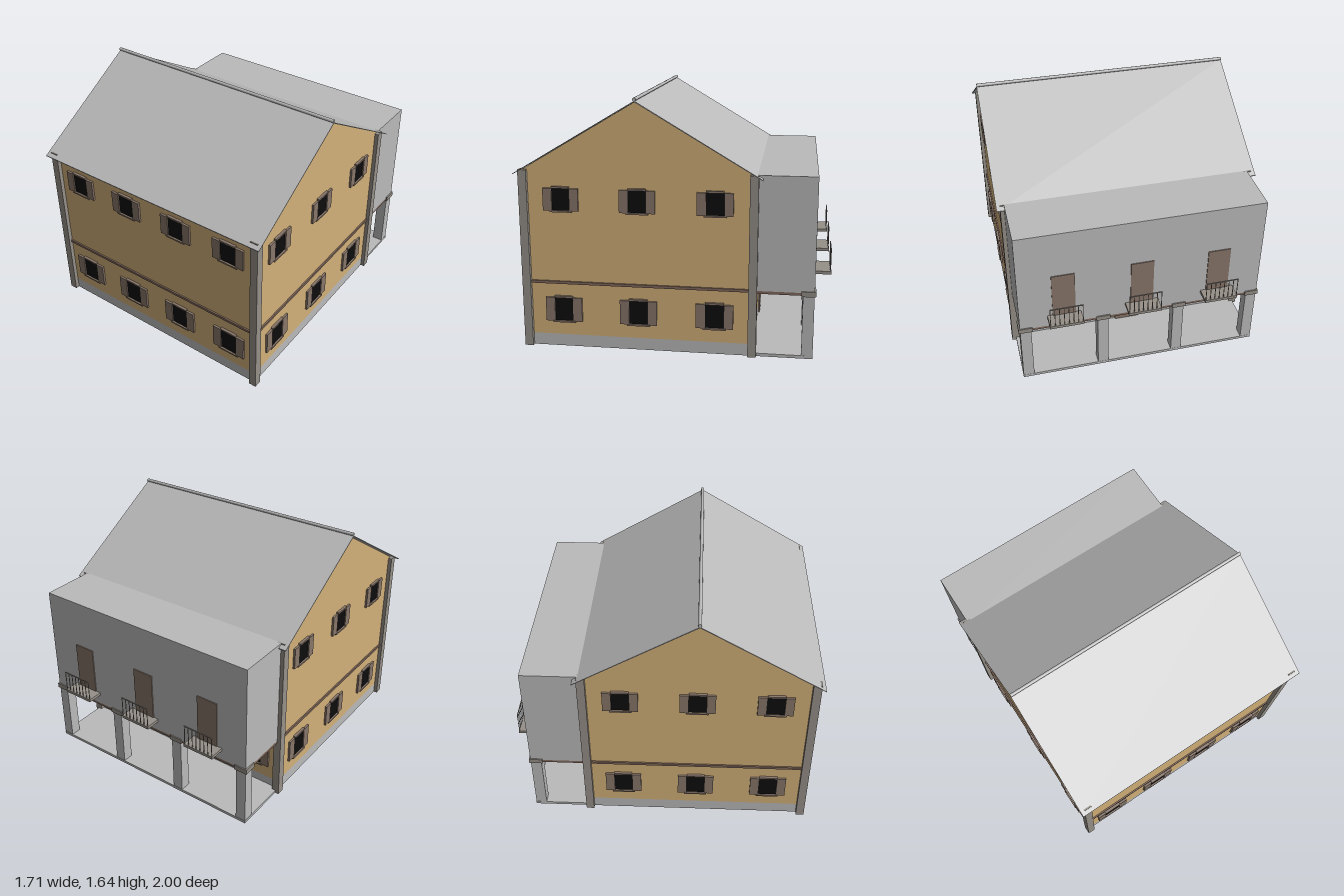
import * as THREE from 'three';

const mat = (name, color, side = THREE.FrontSide) => {
  const m = new THREE.MeshStandardMaterial({ color, side });
  m.name = name;
  return m;
};

export function createModel() {
  const ochre = mat('ochrePlaster', 0xd2b079, THREE.DoubleSide);
  const grey = mat('lightGrey', 0xbababa, THREE.DoubleSide);
  const stone = mat('stone', 0x969088);
  const shutterBrown = mat('shutterBrown', 0x88766a);
  const beltBrown = mat('beltBrown', 0x82695c);
  const glass = mat('darkGlass', 0x0d0d0d);

  const house = new THREE.Group();
  house.name = 'house';

  const add = (parent, name, geo, material) => {
    const m = new THREE.Mesh(geo, material);
    m.name = name;
    parent.add(m);
    return m;
  };
  // box given by its min and max corners
  const box = (parent, name, material, x0, x1, y0, y1, z0, z1) => {
    const m = add(parent, name, new THREE.BoxGeometry(x1 - x0, y1 - y0, z1 - z0), material);
    m.position.set((x0 + x1) / 2, (y0 + y1) / 2, (z0 + z1) / 2);
    return m;
  };
  const polygon = (pts) => new THREE.Shape(pts.map(([x, y]) => new THREE.Vector2(x, y)));

  const W = 0.805, D = 0.73, ZC = 0.218, EAVE = 1.178, APEX = 1.612, PLINTH = 0.08;

  // window with a pair of shutters, lintel and sill, on a wall facing local +z
  const addWindow = (parent, x, y0, y1, half) => {
    const g = new THREE.Group();
    g.name = 'window';
    g.position.x = x;
    parent.add(g);
    box(g, 'pane', glass, -half, half, y0, y1, 0, 0.006);
    for (const s of [-1, 1]) {
      const a = s * half, b = s * half * 2;
      box(g, 'shutter', shutterBrown, Math.min(a, b), Math.max(a, b), y0 - 0.003, y1 - 0.003, 0, 0.014);
    }
    box(g, 'lintel', shutterBrown, -half, half, y1 - 0.003, y1 + 0.009, 0, 0.018);
    box(g, 'sill', shutterBrown, -half * 1.25, half * 1.25, y0 - 0.011, y0, -0.012, 0.018);
  };

  // four wall sides, open underneath
  const sides = [
    { name: 'frontWall', angle: 0, pos: [0, 0, ZC + D], half: W, windows: [-0.605, -0.203, 0.203, 0.605], floors: 2 },
    { name: 'backWall', angle: Math.PI, pos: [0, 0, ZC - D], half: W, windows: [-0.61, 0.61], floors: 1 },
    { name: 'leftWall', angle: Math.PI / 2, pos: [W, 0, ZC], half: D, gable: true, windows: [-0.49, 0, 0.49], floors: 2 },
    { name: 'rightWall', angle: -Math.PI / 2, pos: [-W, 0, ZC], half: D, gable: true, windows: [-0.49, 0, 0.49], floors: 2 },
  ];
  for (const s of sides) {
    const g = new THREE.Group();
    g.name = s.name;
    g.position.set(...s.pos);
    g.rotation.y = s.angle;
    house.add(g);
    const h = s.half;
    const outline = [[-h, PLINTH], [h, PLINTH], [h, EAVE]];
    if (s.gable) outline.push([0, APEX]);
    outline.push([-h, EAVE]);
    add(g, 'plaster', new THREE.ShapeGeometry(polygon(outline)), ochre);
    add(g, 'plinth', new THREE.ShapeGeometry(polygon([[-h, 0], [h, 0], [h, PLINTH], [-h, PLINTH]])), grey);
    for (const x of s.windows) {
      addWindow(g, x, 0.178, 0.338, 0.06);
      if (s.floors === 2) addWindow(g, x, 0.917, 1.063, 0.057);
    }
    if (s.name === 'backWall') box(g, 'porchDoor', shutterBrown, -0.085, 0.085, 0.02, 0.34, 0, 0.012);
  }

  // upper floor slab, showing outside as a belt course
  box(house, 'floorBelt', beltBrown, -W - 0.01, W + 0.01, 0.428, 0.446, ZC - D - 0.01, ZC + D + 0.01);

  // corner pillars
  for (const x of [-W, W]) for (const z of [ZC - D, ZC + D])
    box(house, 'cornerPillar', stone, x - 0.026, x + 0.026, 0, 1.176, z - 0.027, z + 0.027);

  // thin gabled roof with a ridge roll
  const roofShape = polygon([
    [1, 1.155], [ZC, 1.62], [-0.565, 1.155], [-0.565, 1.15], [ZC, 1.613], [1, 1.15],
  ]);
  const roofGeo = new THREE.ExtrudeGeometry(roofShape, { depth: 1.71, bevelEnabled: false });
  roofGeo.translate(0, 0, -0.855);
  roofGeo.rotateY(-Math.PI / 2);
  add(house, 'roof', roofGeo, grey);
  const ridge = add(house, 'ridgeRoll', new THREE.CylinderGeometry(0.011, 0.011, 1.71, 12), grey);
  ridge.rotation.z = Math.PI / 2;
  ridge.position.set(0, 1.628, ZC);

  // rear annex raised above a porch
  box(house, 'annex', grey, -W, W, 0.438, 1.176, -0.897, ZC - D);
  box(house, 'porchCeiling', beltBrown, -W, W, 0.42, 0.438, -0.895, ZC - D);
  box(house, 'porchFloor', grey, -W, W, 0, 0.02, -0.897, ZC - D);
  for (const x of [-0.768, -0.257, 0.257, 0.768]) {
    box(house, 'porchColumn', grey, x - 0.036, x + 0.036, 0.02, 0.42, -0.896, -0.824);
    box(house, 'columnCapital', stone, x - 0.046, x + 0.046, 0.415, 0.448, -0.905, -0.815);
  }

  // balconies with doors and railings
  for (const x of [-0.513, 0, 0.513]) {
    const b = new THREE.Group();
    b.name = 'balcony';
    b.position.x = x;
    house.add(b);
    box(b, 'balconyDoor', shutterBrown, -0.075, 0.075, 0.525, 0.85, -0.903, -0.895);
    box(b, 'balconySlab', stone, -0.11, 0.11, 0.506, 0.526, -1, -0.895);
    box(b, 'handrail', stone, -0.108, 0.108, 0.661, 0.667, -0.998, -0.992);
    for (let i = 0; i < 8; i++) {
      const bx = -0.105 + i * 0.03;
      box(b, 'baluster', stone, bx - 0.002, bx + 0.002, 0.526, 0.662, -0.997, -0.993);
    }
  }
  return house;
}
